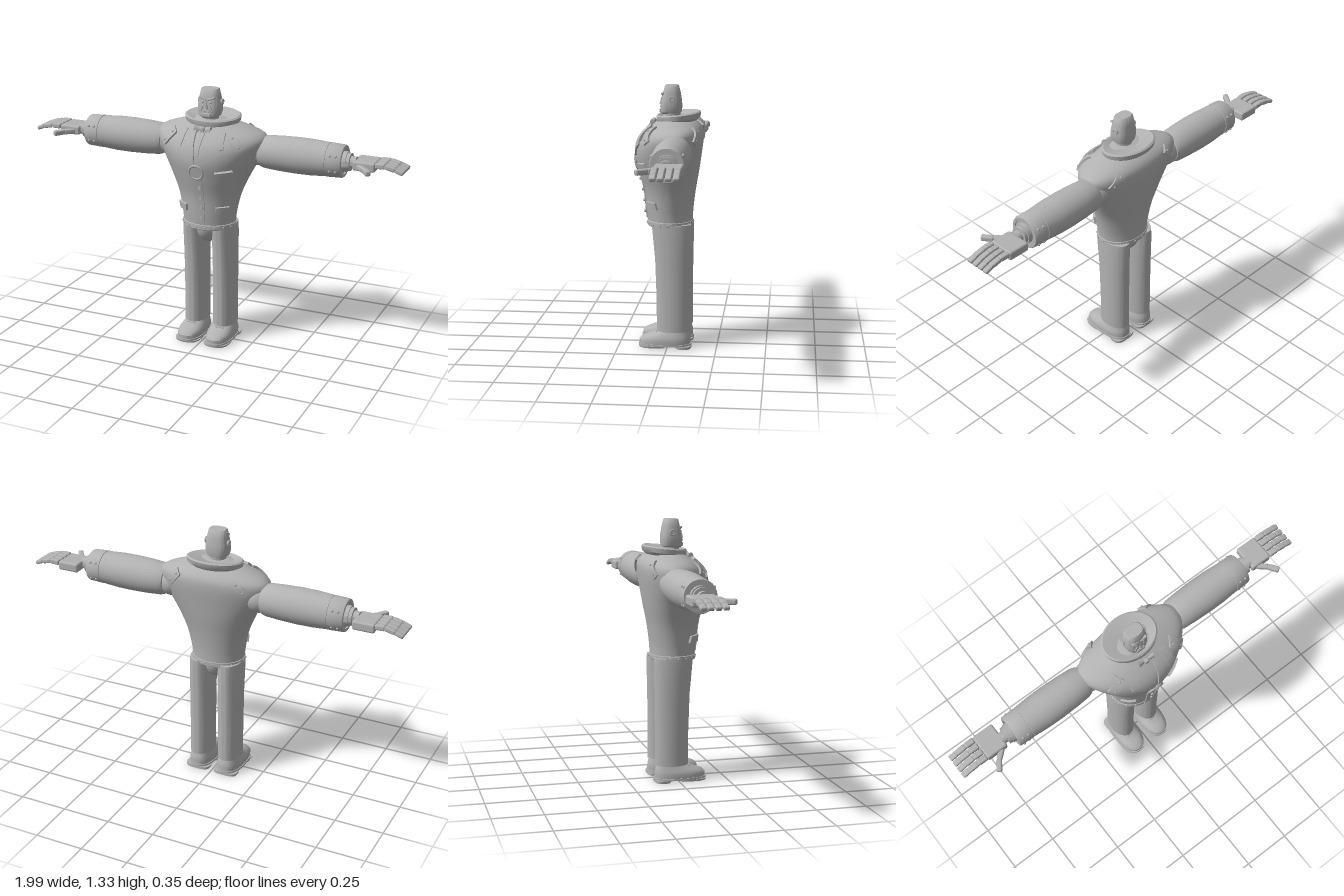
import * as THREE from 'three';
import { toCreasedNormals } from 'three/addons/utils/BufferGeometryUtils.js';
import { RoundedBoxGeometry } from 'three/addons/geometries/RoundedBoxGeometry.js';

const grey = new THREE.MeshStandardMaterial({ color: 0xb2b2b2 });
grey.name = 'plain grey';

// Jacket rows: height, half width, front z, back z, z of the widest point
const JACKET = [
  [0.63, 0.134, 0.104, -0.12, -0.008], [0.7, 0.142, 0.112, -0.123, -0.01],
  [0.8, 0.165, 0.122, -0.135, -0.02], [0.9, 0.208, 0.146, -0.152, -0.035],
  [0.98, 0.25, 0.162, -0.163, -0.05], [1.04, 0.28, 0.156, -0.171, -0.055],
  [1.08, 0.292, 0.135, -0.173, -0.055], [1.11, 0.275, 0.106, -0.168, -0.055],
  [1.135, 0.215, 0.076, -0.15, -0.05], [1.155, 0.15, 0.048, -0.12, -0.04],
  [1.175, 0.08, 0.028, -0.075, -0.03],
];

// Smooth interpolation of the jacket rows at height y
function jacketAt(y) {
  const R = JACKET, n = R.length;
  let i = 0;
  while (i < n - 2 && y > R[i + 1][0]) i++;
  const a = R[i], b = R[i + 1], h = b[0] - a[0];
  const t = THREE.MathUtils.clamp((y - a[0]) / h, 0, 1);
  const slope = (k, c) => {
    const p = R[Math.max(k - 1, 0)], q = R[Math.min(k + 1, n - 1)];
    return (q[c] - p[c]) / (q[0] - p[0]);
  };
  return [y, ...[1, 2, 3, 4].map((c) =>
    a[c] * (1 + 2 * t) * (1 - t) ** 2 + b[c] * t * t * (3 - 2 * t) +
    h * (slope(i, c) * t * (1 - t) ** 2 + slope(i + 1, c) * t * t * (t - 1)))];
}

function jacketZ(x, y, back) {
  const [, w, zf, zb, zc] = jacketAt(y);
  return zc + ((back ? zb : zf) - zc) * Math.sqrt(Math.max(0.01, 1 - (x / w) ** 2));
}

// Skin over rows of [y, half width, front z, back z, centre z]; power > 2 is boxier
function loft(rows, { power = 2, sides = 48, caps = true, tilt = 0, crease = 0.7 } = {}) {
  const pos = [], idx = [];
  const pw = (v) => Math.sign(v) * Math.abs(v) ** (2 / power);
  for (const [y, w, zf, zb, zc = (zf + zb) / 2] of rows) {
    for (let j = 0; j < sides; j++) {
      const a = (j / sides) * Math.PI * 2, c = pw(Math.cos(a));
      const z = zc + c * (c > 0 ? zf - zc : zc - zb);
      pos.push(w * pw(Math.sin(a)), y - tilt * z, z);
    }
  }
  for (let i = 0; i < rows.length - 1; i++) {
    for (let j = 0; j < sides; j++) {
      const k = (j + 1) % sides, a = i * sides, b = a + sides;
      idx.push(a + j, a + k, b + k, a + j, b + k, b + j);
    }
  }
  if (caps) {
    [0, rows.length - 1].forEach((i, top) => {
      const [y, , zf, zb] = rows[i], c = pos.length / 3, o = i * sides;
      pos.push(0, y - tilt * (zf + zb) / 2, (zf + zb) / 2);
      for (let j = 0; j < sides; j++) {
        const k = (j + 1) % sides;
        idx.push(c, o + (top ? j : k), o + (top ? k : j));
      }
    });
  }
  const g = new THREE.BufferGeometry();
  g.setAttribute('position', new THREE.Float32BufferAttribute(pos, 3));
  g.setIndex(idx);
  return toCreasedNormals(g, crease);
}

// Thin cloth plate that follows the jacket; quad is [bl, br, tr, tl] for the +x front
function patch(quad, t = 0.008, s = 1, back = false) {
  let q = quad.map(([x, y]) => [x * s, y]);
  if (s * (back ? -1 : 1) < 0) q = [q[1], q[0], q[3], q[2]];
  const g = new THREE.BoxGeometry(1, 1, 1, 8, 8, 1), p = g.attributes.position, e = 0.004;
  for (let i = 0; i < p.count; i++) {
    const u = p.getX(i) + 0.5, v = p.getY(i) + 0.5;
    const at = (c) => (q[0][c] * (1 - u) + q[1][c] * u) * (1 - v) + (q[3][c] * (1 - u) + q[2][c] * u) * v;
    const x = at(0), y = at(1), f = (dx, dy) => jacketZ(x + dx, y + dy, back);
    const n = new THREE.Vector3((f(-e, 0) - f(e, 0)) / (2 * e), (f(0, -e) - f(0, e)) / (2 * e), 1).normalize();
    if (back) n.negate();
    const d = p.getZ(i) > 0 ? t : -0.006;
    p.setXYZ(i, x + n.x * d, y + n.y * d, f(0, 0) + n.z * d);
  }
  g.computeVertexNormals();
  return g;
}

const rect = (x0, x1, y0, y1) => [[x0, y0], [x1, y0], [x1, y1], [x0, y1]];

export function createModel() {
  const model = new THREE.Group(), body = new THREE.Group();
  model.name = 'figure';
  body.name = 'body';
  body.position.x = 0.005;
  model.add(body);
  const add = (name, geo, x = 0, y = 0, z = 0, parent = body) => {
    const m = new THREE.Mesh(geo, grey);
    m.name = name;
    m.position.set(x, y, z);
    parent.add(m);
    return m;
  };
  const ball = (r) => new THREE.SphereGeometry(r, 12, 8);
  const disc = (r, h) => new THREE.CylinderGeometry(r, r, h, 24);

  // Jacket, belt and hips
  const rows = Array.from({ length: 41 }, (_, i) => jacketAt(0.63 + (0.545 * i) / 40));
  add('jacket', loft(rows, { sides: 64 }));
  add('belt', loft([[0.62, 0.134, 0.104, -0.118], [0.624, 0.14, 0.109, -0.123],
    [0.646, 0.14, 0.109, -0.123], [0.65, 0.134, 0.104, -0.118]]));
  for (let i = 0; i < 18; i++) {
    const a = ((i + 0.5) / 18) * Math.PI * 2;
    add('beltStud', ball(0.005), 0.14 * Math.sin(a), 0.635, -0.007 + 0.116 * Math.cos(a));
  }
  add('hips', new THREE.SphereGeometry(1, 32, 20), 0, 0.625, -0.01).scale.set(0.068, 0.097, 0.095);

  // Jacket front: placket, buttons, lapels, tie, medallion
  add('placket', patch(rect(-0.02, 0.024, 0.655, 0.92), 0.006));
  for (const y of [0.69, 0.745, 0.8, 0.855]) {
    add('button', disc(0.008, 0.012), 0.01, y, jacketZ(0, y) + 0.007).rotation.x = Math.PI / 2;
  }
  add('tie', patch([[-0.006, 0.97], [0.006, 0.97], [0.018, 1.13], [-0.018, 1.13]], 0.005));
  const medal = add('medallion', disc(0.034, 0.012), 0, 0.94, jacketZ(0, 0.94) + 0.004);
  medal.rotation.x = Math.PI / 2 + 0.2;
  add('medallionRim', new THREE.TorusGeometry(0.036, 0.006, 10, 32), 0, 0.94, jacketZ(0, 0.94) + 0.009).rotation.x = 0.2;
  add('tieKnot', new RoundedBoxGeometry(0.024, 0.03, 0.024, 2, 0.006), 0, 1.135, 0.083);
  for (const s of [-1, 1]) {
    const bow = add('bowWing', new THREE.CylinderGeometry(0.024, 0.009, 0.036, 16), s * 0.025, 1.135, 0.08);
    bow.rotation.z = -s * Math.PI / 2;
    bow.scale.z = 0.55;
    add('lapel', patch([[0.004, 0.965], [0.125, 1.04], [0.09, 1.125], [0.03, 1.135]], 0.009, s));
    add('lapelNotch', patch([[0.085, 1.055], [0.13, 1.06], [0.12, 1.125], [0.075, 1.13]], 0.013, s));
    add('pocketFlap', patch(rect(0.075, 0.13, 0.715, 0.75), 0.012, s));
    // Shoulder straps, front and back, each with two studs
    for (const back of [false, true]) {
      add('shoulderStrap', patch([[0.19, 1.045], [0.222, 1.07], [0.162, 1.13], [0.135, 1.108]], 0.01, s, back));
      for (const [x, y] of [[0.197, 1.067], [0.16, 1.108]]) {
        add('strapStud', ball(0.006), s * x, y + 0.005, jacketZ(x, y, back) + (back ? -0.009 : 0.009));
      }
    }
  }
  add('chestPocket', patch(rect(0.088, 0.165, 0.85, 0.94), 0.012));
  add('chestPocketTop', patch([[0.084, 0.925], [0.167, 0.93], [0.165, 0.955], [0.088, 0.945]], 0.017));

  // Collar, higher at the back
  add('collar', loft([[1.14, 0.12, 0.055, -0.14], [1.155, 0.142, 0.062, -0.157], [1.178, 0.146, 0.062, -0.16],
    [1.184, 0.138, 0.056, -0.152], [1.176, 0.1, 0.045, -0.112], [1.165, 0.06, 0.035, -0.075]],
  { caps: false, tilt: 0.1 }));

  // Head
  add('neck', disc(0.042, 0.06), 0, 1.175, -0.015);
  add('head', loft([[1.182, 0.03, 0.034, -0.045], [1.192, 0.052, 0.041, -0.062], [1.215, 0.059, 0.041, -0.066],
    [1.25, 0.059, 0.037, -0.064], [1.29, 0.052, 0.029, -0.057], [1.322, 0.046, 0.021, -0.049],
    [1.326, 0.042, 0.017, -0.045]], { power: 2.7 }));
  add('nose', new THREE.ConeGeometry(0.012, 0.042, 4), 0, 1.25, 0.038);
  add('chin', new RoundedBoxGeometry(0.05, 0.022, 0.016, 2, 0.006), 0, 1.2, 0.038);
  add('mouth', new RoundedBoxGeometry(0.036, 0.006, 0.01, 2, 0.002), 0, 1.22, 0.04);
  for (const s of [-1, 1]) {
    add('brow', new RoundedBoxGeometry(0.04, 0.01, 0.014, 2, 0.004), s * 0.022, 1.281, 0.029).rotation.z = s * 0.35;
    add('eye', ball(0.008), s * 0.021, 1.263, 0.03);
    add('cheekFold', new RoundedBoxGeometry(0.008, 0.035, 0.01, 2, 0.003), s * 0.024, 1.233, 0.036).rotation.z = s * 0.4;
    add('ear', disc(0.014, 0.012), s * 0.057, 1.26, -0.02).rotation.z = Math.PI / 2;
    add('earRim', new THREE.TorusGeometry(0.012, 0.004, 8, 20), s * 0.062, 1.26, -0.02).rotation.y = Math.PI / 2;
  }

  // Legs and shoes
  for (const s of [-1, 1]) {
    const leg = new THREE.Group();
    leg.name = 'leg';
    leg.position.x = s * 0.079;
    body.add(leg);
    const part = (name, geo, y = 0, z = 0) => add(name, geo, 0, y, z, leg);
    part('trouserLeg', loft([[0.085, 0.06, 0.055, -0.117], [0.25, 0.06, 0.056, -0.116], [0.45, 0.061, 0.063, -0.118],
      [0.58, 0.062, 0.075, -0.121], [0.635, 0.06, 0.08, -0.119]]));
    part('shoeUpper', loft([[0.018, 0.065, 0.142, -0.118], [0.04, 0.067, 0.143, -0.118], [0.054, 0.064, 0.13, -0.117],
      [0.066, 0.058, 0.1, -0.114], [0.078, 0.053, 0.06, -0.11], [0.092, 0.048, 0.04, -0.105]], { power: 2.4 }));
    part('sole', loft([[0.012, 0.069, 0.147, -0.122], [0.022, 0.069, 0.147, -0.122]], { power: 2.5 }));
    part('soleFront', loft([[0.004, 0.066, 0.145, -0.005], [0.013, 0.068, 0.147, -0.005]], { power: 2.6 }));
    part('heel', loft([[0, 0.064, -0.042, -0.122], [0.013, 0.066, -0.04, -0.122]], { power: 3.2 }));
    for (let i = 0; i < 6; i++) {
      part('tread', new THREE.BoxGeometry(i === 5 ? 0.075 : 0.105, 0.006, 0.011), 0.003, 0.018 + i * 0.021);
    }
    for (const z of [0.035, 0.055]) {
      part('lace', new RoundedBoxGeometry(0.05, 0.008, 0.008, 2, 0.003), 0.094 - z * 0.25, z);
    }
  }

  // Arms and hands
  const sleeve = [[0, 0.24], [0.05, 0.25], [0.074, 0.266], [0.082, 0.29], [0.087, 0.36], [0.09, 0.45], [0.089, 0.53],
    [0.083, 0.615], [0.081, 0.616], [0.081, 0.619], [0.084, 0.62], [0.081, 0.69], [0.078, 0.695], [0.064, 0.695],
    [0.064, 0.688], [0.05, 0.688], [0.05, 0.71], [0.044, 0.71], [0.044, 0.727], [0.03, 0.727], [0.03, 0.755], [0, 0.755]]
    .map(([r, h]) => new THREE.Vector2(r, h));
  for (const s of [-1, 1]) {
    const arm = new THREE.Group();
    arm.name = 'arm';
    arm.position.set(0, 1.023, -0.056);
    model.add(arm);
    const part = (name, geo, x, y, z) => add(name, geo, s * x, y, z, arm);
    part('shoulderJoint', new THREE.SphereGeometry(0.074, 32, 20), 0.235, 0, 0);
    part('sleeve', toCreasedNormals(new THREE.LatheGeometry(sleeve, 40), 0.6), 0, 0, 0).rotation.z = -s * Math.PI / 2;
    for (const a of [0.5, 2.6, 3.7, 5.8]) {
      for (const x of [0.64, 0.67]) part('cuffStud', ball(0.007), x, 0.082 * Math.sin(a), 0.082 * Math.cos(a));
    }
    part('palm', new RoundedBoxGeometry(0.112, 0.046, 0.132, 3, 0.01), 0.8, -0.004, -0.019);
    // Jointed fingers that droop to the tip
    const joints = [[0.855, 0.008], [0.905, 0.009], [0.955, -0.002], [0.996, -0.017]];
    for (let f = 0; f < 4; f++) {
      const z = -0.07 + f * 0.0345;
      for (let k = 0; k < 3; k++) {
        const [x0, y0] = joints[k], [x1, y1] = joints[k + 1], len = Math.hypot(x1 - x0, y1 - y0);
        const seg = part('fingerSegment', new RoundedBoxGeometry(len - 0.002, 0.026 - k * 0.003, 0.029, 2, 0.007),
          (x0 + x1) / 2, (y0 + y1) / 2, z);
        seg.rotation.z = s * Math.atan2(y1 - y0, x1 - x0);
        if (k < 2) part('knuckle', disc(0.009, 0.024), x1, y1, z).rotation.x = Math.PI / 2;
      }
    }
    // Thumb in two segments, pointing forward and out
    const thumb = [[0.775, 0.04], [0.815, 0.075], [0.848, 0.122]];
    for (let k = 0; k < 2; k++) {
      const [x0, z0] = thumb[k], [x1, z1] = thumb[k + 1];
      const seg = part('thumbSegment', new RoundedBoxGeometry(Math.hypot(x1 - x0, z1 - z0) + 0.004, 0.027, 0.027, 2, 0.008),
        (x0 + x1) / 2, -0.008, (z0 + z1) / 2);
      seg.rotation.y = -s * Math.atan2(z1 - z0, x1 - x0);
    }
  }
  return model;
}
